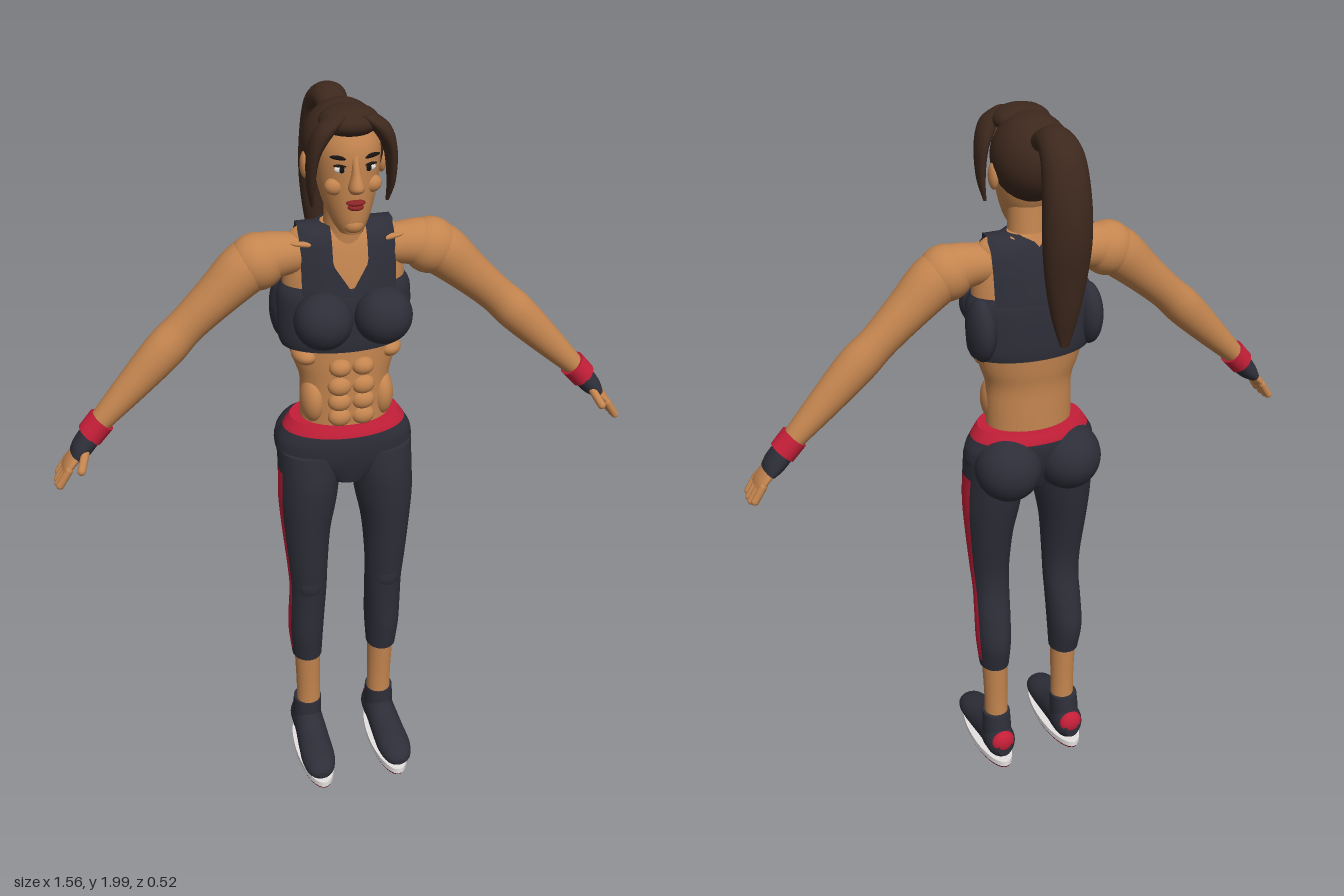
import * as THREE from 'three';

const mat = (name, color, side = THREE.FrontSide) => {
  const m = new THREE.MeshStandardMaterial({ color, side });
  m.name = name;
  return m;
};

// Smooth interpolation of ring values [x, y, z, a, b, tilt]
function smoothRings(rings, sub) {
  const rows = [], n = rings.length, at = (i, k) => rings[Math.min(n - 1, Math.max(0, i))][k] || 0;
  for (let i = 0; i < n - 1; i++) for (let s = 0; s < sub + (i === n - 2 ? 1 : 0); s++) {
    const t = s / sub;
    rows.push([0, 1, 2, 3, 4, 5].map((k) => {
      const p = at(i - 1, k), q = at(i, k), r = at(i + 1, k), w = at(i + 2, k);
      const v = q + 0.5 * t * (r - p + t * (2 * p - 5 * q + 4 * r - w + t * (3 * (q - r) + w - p)));
      return k === 3 || k === 4 ? Math.max(0.002, v) : v;
    }));
  }
  return rows;
}

// Closed skin over elliptical rings, listed bottom to top; paint(angle, y) picks a second colour
function loft(rings, { seg = 32, sub = 5, paint = () => false } = {}) {
  const rows = smoothRings(rings, sub), pos = [], lists = [[], []];
  const ring = ([x, y, z, a, b, t]) => {
    for (let j = 0; j < seg; j++) {
      const u = (j / seg) * Math.PI * 2, c = a * Math.cos(u);
      pos.push(x + c * Math.cos(t), y + c * Math.sin(t), z + b * Math.sin(u));
    }
  };
  rows.forEach(ring);
  for (let i = 0; i < rows.length - 1; i++) for (let j = 0; j < seg; j++) {
    const k = (j + 1) % seg, p = i * seg, q = p + seg;
    const angle = ((j + 0.5) / seg) * Math.PI * 2;
    lists[paint(angle, (rows[i][1] + rows[i + 1][1]) / 2) ? 1 : 0].push(p + j, q + j, p + k, p + k, q + j, q + k);
  }
  for (const [row, top] of [[rows[0], false], [rows[rows.length - 1], true]]) {
    const s = pos.length / 3;
    ring(row);
    pos.push(row[0], row[1], row[2]);
    for (let j = 0; j < seg; j++) {
      const k = (j + 1) % seg;
      lists[paint(9, row[1]) ? 1 : 0].push(s + seg, top ? s + k : s + j, top ? s + j : s + k);
    }
  }
  const g = new THREE.BufferGeometry();
  g.setAttribute('position', new THREE.Float32BufferAttribute(pos, 3));
  g.setIndex([...lists[0], ...lists[1]]);
  if (lists[1].length) {
    g.addGroup(0, lists[0].length, 0);
    g.addGroup(lists[0].length, lists[1].length, 1);
  }
  g.computeVertexNormals();
  return g;
}

const ball = (x, y, z, rx, ry, rz, roll = 0) =>
  new THREE.SphereGeometry(1, 28, 18).scale(rx, ry, rz).rotateZ(roll).translate(x, y, z);

function finger(p, q, r) {
  const a = new THREE.Vector3(...p), b = new THREE.Vector3(...q), d = b.clone().sub(a);
  const turn = new THREE.Quaternion().setFromUnitVectors(new THREE.Vector3(0, 1, 0), d.clone().normalize());
  a.add(b).multiplyScalar(0.5);
  return new THREE.CapsuleGeometry(r, d.length() - r, 5, 12).applyQuaternion(turn).translate(a.x, a.y, a.z);
}

function mirrored(geo) {
  const g = geo.clone().scale(-1, 1, 1), ix = g.index.array;
  for (let i = 0; i < ix.length; i += 3) [ix[i], ix[i + 1]] = [ix[i + 1], ix[i]];
  return g;
}

export function createModel() {
  const skin = mat('skin', 0xc4854f), hair = mat('hair brown', 0x3d281d);
  const dark = mat('charcoal fabric', 0x2d2e38, THREE.DoubleSide), red = mat('red trim', 0xc41f38);
  const white = mat('white', 0xe6e2e2), lip = mat('lip red', 0x8a2426), black = mat('eye black', 0x17110f);
  const soleRed = mat('sole red', 0x8c1630);
  const model = new THREE.Group();
  model.name = 'athlete';
  const one = (name, geo, m) => {
    const mesh = new THREE.Mesh(geo, m);
    mesh.name = name;
    model.add(mesh);
  };
  const both = (name, geo, m) => {
    one(name + 'Left', geo, m);
    one(name + 'Right', mirrored(geo), m);
  };

  // Torso and neck
  const torso = [[0, 1.1, 0.03, 0.12, 0.085], [0, 1.2, 0.03, 0.12, 0.085], [0, 1.27, 0.03, 0.121, 0.085],
    [0, 1.33, 0.025, 0.14, 0.088], [0, 1.42, 0.02, 0.162, 0.09], [0, 1.52, 0.02, 0.16, 0.085],
    [0, 1.6, 0.02, 0.155, 0.072], [0, 1.65, 0.02, 0.145, 0.06], [0, 1.675, 0.02, 0.125, 0.05], [0, 1.69, 0.02, 0.06, 0.045]];
  one('torso', loft(torso, { seg: 48 }), skin);
  one('neck', loft([[0, 1.62, 0.025, 0.07, 0.055], [0, 1.68, 0.03, 0.054, 0.053], [0, 1.78, 0.04, 0.052, 0.053]]), skin);
  for (const y of [1.175, 1.22, 1.265]) both('abdominal', ball(0.031, y, 0.106, 0.032, 0.027, 0.024), skin);
  both('lowerRib', ball(0.03, 1.32, 0.108, 0.03, 0.025, 0.026), skin);
  both('sideRib', ball(0.11, 1.345, 0.05, 0.036, 0.028, 0.05), skin);
  both('oblique', ball(0.092, 1.21, 0.055, 0.034, 0.065, 0.05), skin);
  both('collarbone', ball(0.075, 1.645, 0.064, 0.07, 0.009, 0.012, 0.12), skin);

  // Sports top
  one('topBand', loft([[0, 1.365, 0.02, 0.165, 0.097], [0, 1.4, 0.02, 0.175, 0.1], [0, 1.5, 0.02, 0.176, 0.098],
    [0, 1.535, 0.02, 0.162, 0.088]], { seg: 48 }), dark);
  both('bustCup', ball(0.078, 1.465, 0.125, 0.075, 0.074, 0.074), dark);
  both('topSide', ball(0.15, 1.45, -0.015, 0.037, 0.086, 0.062), dark);
  // Strap runs up the chest, over the shoulder and down the back
  const zAt = (x, y, s) => {
    let i = 4;
    while (i < torso.length - 2 && torso[i + 1][1] < y) i++;
    const p = torso[i], q = torso[i + 1], t = Math.min(1, (y - p[1]) / (q[1] - p[1]));
    const [a, b] = [3, 4].map((k) => p[k] + (q[k] - p[k]) * t + 0.01);
    return 0.02 + s * b * Math.sqrt(Math.max(0.1, 1 - (x / a) ** 2));
  };
  const strap = new THREE.PlaneGeometry(1, 1, 12, 29), sp = strap.attributes.position;
  for (let i = 0; i < sp.count; i++) {
    const u = sp.getX(i) + 0.5, v = (sp.getY(i) + 0.5) * 2, front = v < 1;
    const y = 1.5 + 0.19 * Math.min(1, (front ? v : 2 - v) / 0.966);
    const inner = front ? 0.045 * Math.min(1, Math.max(0, (y - 1.53) / 0.07)) : 0.04 * Math.max(0, (y - 1.67) / 0.02);
    const x = inner + (0.122 - inner) * u;
    sp.setXYZ(i, x, y, zAt(x, y, front ? 1 : -1));
  }
  strap.computeVertexNormals();
  both('strap', strap, dark);

  // Leggings: hips with red waistband, legs with a red outer stripe
  one('hips', loft([[0, 0.97, 0.035, 0.07, 0.08], [0, 1.03, 0.03, 0.175, 0.1], [0, 1.08, 0.027, 0.186, 0.11],
    [0, 1.12, 0.025, 0.168, 0.11], [0, 1.15, 0.025, 0.148, 0.1]],
  { seg: 48, sub: 8, paint: (a, y) => y > 1.122 }), [dark, red]);
  both('glute', ball(0.088, 1.045, -0.037, 0.092, 0.095, 0.093), dark);
  both('leg', loft([[0.113, 0.345, 0.03, 0.043, 0.05], [0.115, 0.43, 0.028, 0.05, 0.064], [0.113, 0.52, 0.038, 0.052, 0.06],
    [0.111, 0.6, 0.05, 0.053, 0.055], [0.113, 0.68, 0.055, 0.057, 0.06], [0.114, 0.8, 0.05, 0.067, 0.077],
    [0.108, 0.9, 0.045, 0.08, 0.092], [0.102, 0.98, 0.04, 0.084, 0.1], [0.095, 1.06, 0.03, 0.09, 0.1]],
  { seg: 40, paint: (a, y) => Math.cos(a) > 0.96 && y > 0.38 && y < 1.0 }), [dark, red]);
  both('knee', ball(0.112, 0.63, 0.083, 0.038, 0.055, 0.027), dark);

  // Ankles and shoes
  both('ankle', loft([[0.11, 0.1, 0.027, 0.036, 0.036], [0.11, 0.22, 0.028, 0.035, 0.036], [0.112, 0.36, 0.03, 0.038, 0.043]]), skin);
  both('shoeCollar', loft([[0.113, 0.05, 0.015, 0.043, 0.05], [0.113, 0.11, 0.018, 0.043, 0.05], [0.112, 0.165, 0.022, 0.041, 0.044]]), dark);
  both('shoe', loft([[0.113, -0.05, -0.065, 0.022, 0.028], [0.113, -0.02, -0.072, 0.044, 0.054], [0.113, 0.05, -0.072, 0.045, 0.056],
    [0.115, 0.12, -0.062, 0.048, 0.045], [0.117, 0.19, -0.056, 0.049, 0.037], [0.118, 0.235, -0.05, 0.036, 0.027],
    [0.118, 0.252, -0.047, 0.012, 0.01]]).rotateX(Math.PI / 2), dark);
  both('heelPatch', ball(0.113, 0.082, -0.031, 0.036, 0.037, 0.023), red);
  both('soleEdge', loft([[0.114, 0.007, 0.098, 0.053, 0.161], [0.114, 0.024, 0.098, 0.053, 0.161]], { sub: 1, seg: 40 }), white);
  both('soleBottom', loft([[0.114, 0, 0.098, 0.05, 0.157], [0.114, 0.007, 0.098, 0.053, 0.161]], { sub: 1, seg: 40 }), soleRed);

  // Arms, wristbands, gloves and hands
  both('arm', loft([[0.66, 1.2, 0.045, 0.027, 0.031, 0.8], [0.56, 1.3, 0.04, 0.042, 0.042, 0.8], [0.47, 1.39, 0.035, 0.052, 0.05, 0.8],
    [0.41, 1.447, 0.03, 0.049, 0.048, 0.8], [0.33, 1.52, 0.03, 0.056, 0.058, 0.8], [0.25, 1.59, 0.03, 0.068, 0.066, 0.8],
    [0.19, 1.615, 0.028, 0.062, 0.06, 1.2], [0.12, 1.615, 0.025, 0.05, 0.05, 1.5]]), skin);
  both('shoulder', ball(0.225, 1.602, 0.03, 0.073, 0.073, 0.07), skin);
  both('wristband', loft([[0.678, 1.178, 0.048, 0.036, 0.038, 0.8], [0.643, 1.217, 0.046, 0.037, 0.038, 0.8]], { sub: 1 }), red);
  both('glove', loft([[0.718, 1.13, 0.052, 0.018, 0.04, 0.7], [0.7, 1.15, 0.052, 0.027, 0.042, 0.75], [0.668, 1.188, 0.048, 0.03, 0.035, 0.8]]), dark);
  both('palm', loft([[0.75, 1.092, 0.056, 0.01, 0.04, 0.65], [0.735, 1.112, 0.055, 0.014, 0.042, 0.65], [0.7, 1.15, 0.052, 0.018, 0.035, 0.7]]), skin);
  [0.022, 0.045, 0.068, 0.09].forEach((z, i) => {
    const reach = [0.85, 1, 1, 0.9][i];
    both('finger' + (i + 1), finger([0.738, 1.108, z], [0.738 + 0.036 * reach, 1.108 - 0.055 * reach, z], 0.0105), skin);
  });
  both('thumb', finger([0.693, 1.15, 0.08], [0.712, 1.112, 0.125], 0.011), skin);

  // Face
  one('head', loft([[0, 1.69, 0.095, 0.03, 0.036], [0, 1.72, 0.075, 0.048, 0.064], [0, 1.77, 0.06, 0.066, 0.082],
    [0, 1.83, 0.053, 0.078, 0.09], [0, 1.9, 0.05, 0.081, 0.09], [0, 1.96, 0.045, 0.06, 0.07]], { seg: 40 }), skin);
  one('chin', ball(0, 1.713, 0.117, 0.027, 0.023, 0.025), skin);
  one('nose', loft([[0, 1.8, 0.143, 0.013, 0.012], [0, 1.815, 0.149, 0.02, 0.026], [0, 1.85, 0.144, 0.011, 0.015],
    [0, 1.89, 0.136, 0.009, 0.007]], { seg: 20 }), skin);
  one('upperLip', ball(0, 1.776, 0.142, 0.024, 0.007, 0.016), lip);
  one('lowerLip', ball(0, 1.764, 0.14, 0.02, 0.008, 0.016), lip);
  both('cheek', ball(0.045, 1.812, 0.115, 0.026, 0.022, 0.02), skin);
  both('eyeWhite', ball(0.034, 1.858, 0.133, 0.017, 0.009, 0.006, 0.1), white);
  both('iris', ball(0.033, 1.858, 0.137, 0.007, 0.008, 0.004), black);
  both('lash', ball(0.035, 1.867, 0.134, 0.019, 0.003, 0.007, 0.1), black);
  both('brow', ball(0.038, 1.886, 0.132, 0.024, 0.005, 0.008, 0.2), black);
  both('ear', ball(0.096, 1.838, 0.02, 0.013, 0.034, 0.02), skin);

  // Hair: cap, swept fringe, face locks and ponytail
  one('hairCap', ball(0, 1.88, 0.008, 0.101, 0.11, 0.114), hair);
  one('hairFringe', ball(0, 1.957, 0.073, 0.073, 0.037, 0.072), hair);
  both('hairLock', loft([[0.094, 1.755, 0.085, 0.004, 0.006], [0.1, 1.81, 0.096, 0.01, 0.022], [0.094, 1.89, 0.104, 0.016, 0.034],
    [0.066, 1.95, 0.112, 0.026, 0.034], [0.03, 1.98, 0.1, 0.025, 0.03]], { seg: 20 }), hair);
  one('ponytail', loft([[0.2, 1.455, 0, 0.006, 0.012, 0], [0.198, 1.54, 0, 0.03, 0.036, 0], [0.203, 1.64, 0, 0.042, 0.054, 0],
    [0.208, 1.74, 0, 0.052, 0.062, 0], [0.202, 1.84, 0, 0.052, 0.06, 0.15], [0.175, 1.925, 0, 0.046, 0.054, 0.7],
    [0.12, 1.955, 0, 0.036, 0.044, 1.35], [0.06, 1.93, 0, 0.03, 0.036, 1.9]]).rotateY(Math.PI / 2), hair);
  return model;
}
